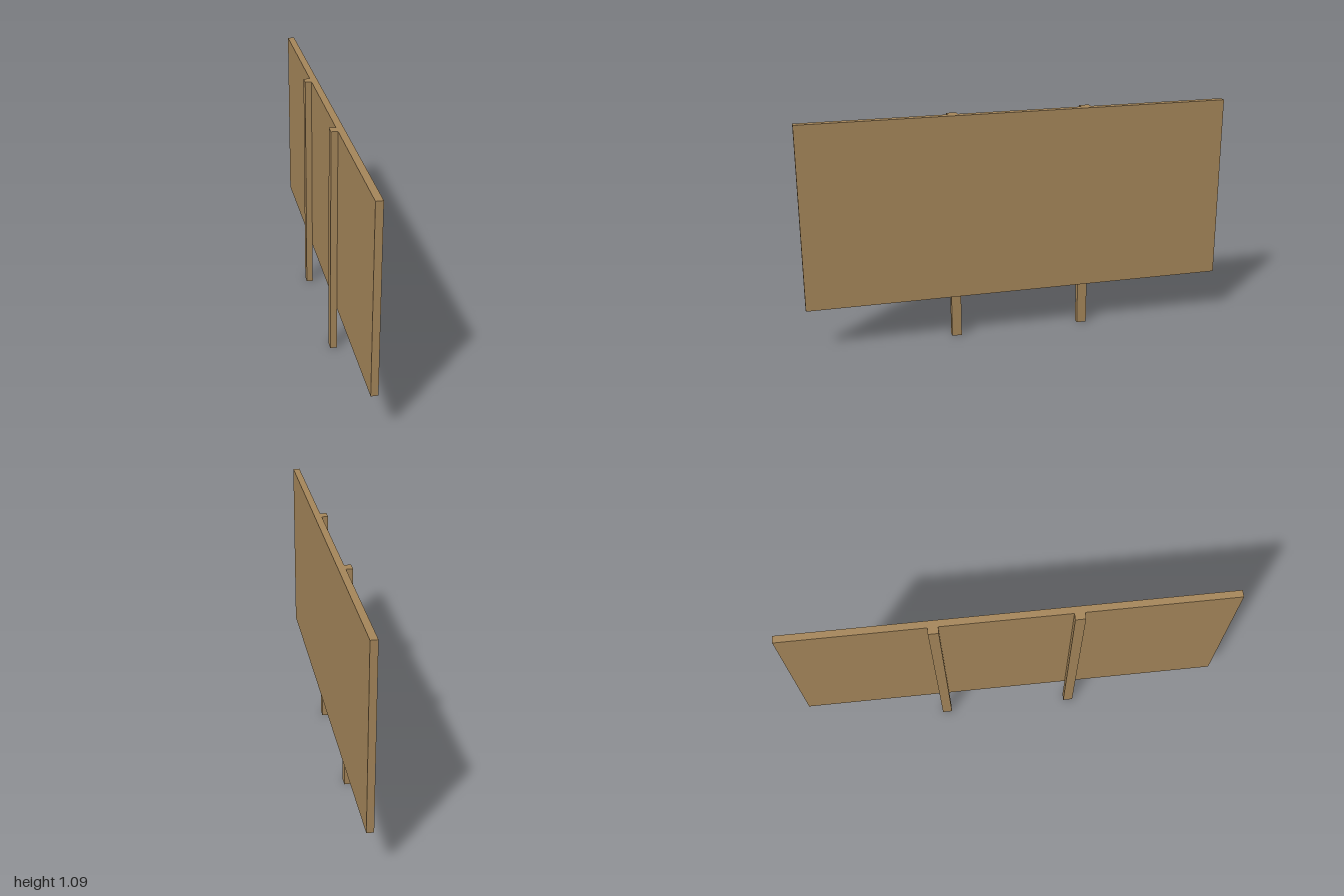
import * as THREE from 'three';

export function createModel() {
  const group = new THREE.Group();
  const wood = new THREE.MeshStandardMaterial({ color: 0xa5865a });
  wood.name = 'wood';

  // Box given by its minimum and maximum corners
  function box(name, [x0, y0, z0], [x1, y1, z1]) {
    const mesh = new THREE.Mesh(new THREE.BoxGeometry(x1 - x0, y1 - y0, z1 - z0), wood);
    mesh.position.set((x0 + x1) / 2, (y0 + y1) / 2, (z0 + z1) / 2);
    mesh.name = name;
    group.add(mesh);
  }

  const top = 1.086;

  // Sign panel
  box('panel', [-0.001, 0.215, -1], [0.031, top, 1]);

  // Support posts behind the panel
  const postWidth = 0.046;
  for (const [name, z] of [['frontPost', 0.297], ['rearPost', -0.327]]) {
    box(name, [-0.031, 0, z - postWidth / 2], [0, top, z + postWidth / 2]);
  }

  return group;
}
